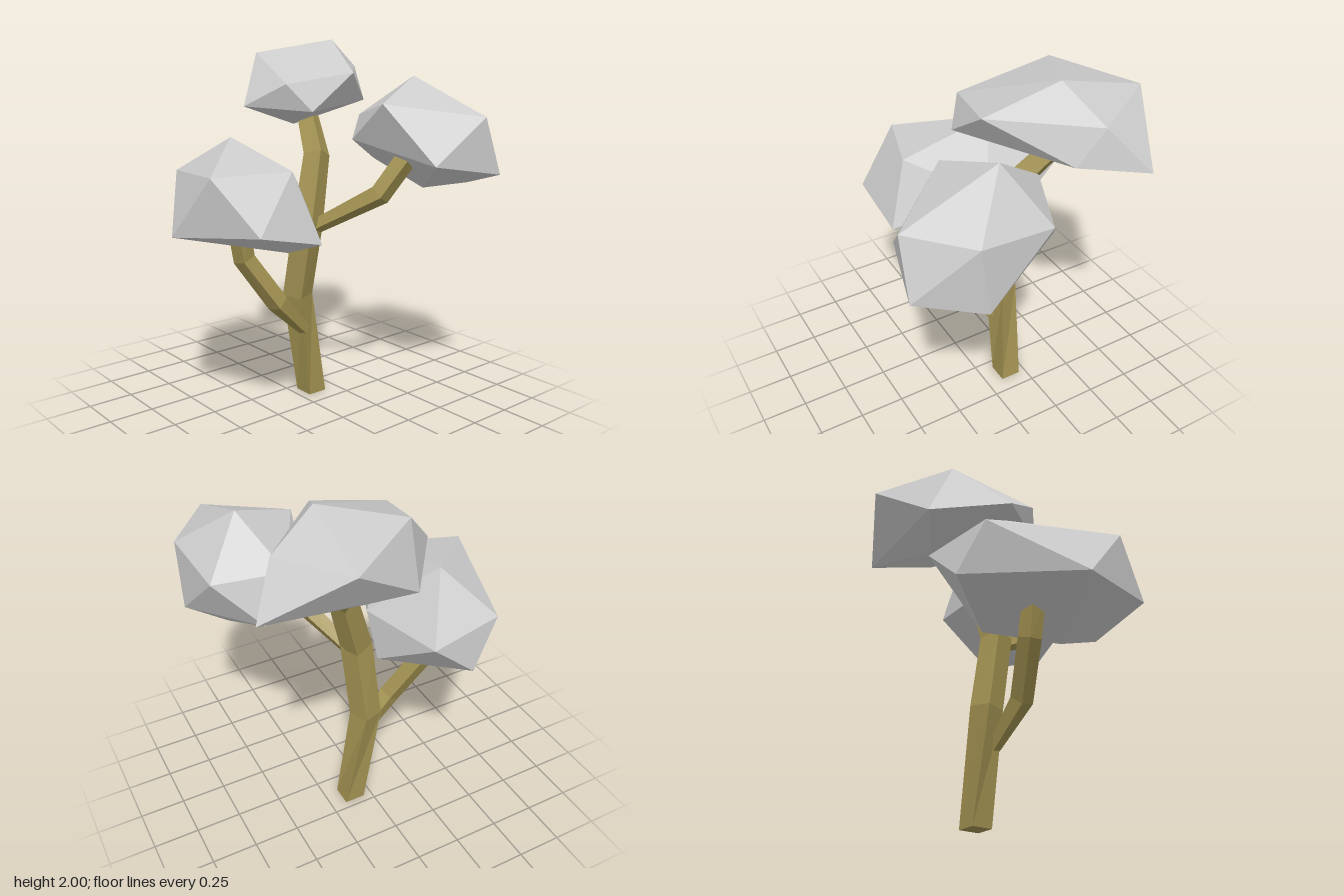
import * as THREE from 'three';
import { ConvexGeometry } from 'three/addons/geometries/ConvexGeometry.js';

const leafMat = new THREE.MeshStandardMaterial({ color: 0xcccccc, flatShading: true });
const barkMat = new THREE.MeshStandardMaterial({ color: 0xa09050, flatShading: true });

// Square-section limb; each ring is [x, y, z, halfWidth, twist]
function limb(name, rings) {
  const pts = rings.map(r => new THREE.Vector3(r[0], r[1], r[2]));
  const corners = [[-1, 1], [1, 1], [1, -1], [-1, -1]];
  const pos = [], idx = [];
  rings.forEach(([, y, , h, twist], i) => {
    const t = new THREE.Vector3();
    if (y === 0) t.set(0, 1, 0);
    else {
      if (i > 0) t.add(pts[i].clone().sub(pts[i - 1]).normalize());
      if (i < pts.length - 1) t.add(pts[i + 1].clone().sub(pts[i]).normalize());
      t.normalize();
    }
    const u = new THREE.Vector3(1, 0, 0).addScaledVector(t, -t.x).normalize();
    const v = u.clone().cross(t);
    const c = Math.cos(twist), s = Math.sin(twist);
    for (const [a, b] of corners) {
      const p = pts[i].clone()
        .addScaledVector(u, h * (a * c + b * s))
        .addScaledVector(v, h * (b * c - a * s));
      pos.push(p.x, p.y, p.z);
    }
  });
  for (let i = 0; i < rings.length - 1; i++) {
    for (let k = 0; k < 4; k++) {
      const a = i * 4 + k, b = i * 4 + (k + 1) % 4;
      idx.push(a, b, b + 4, a, b + 4, a + 4);
    }
  }
  const e = (rings.length - 1) * 4;
  idx.push(0, 2, 1, 0, 3, 2, e, e + 1, e + 2, e, e + 2, e + 3);
  const indexed = new THREE.BufferGeometry();
  indexed.setAttribute('position', new THREE.Float32BufferAttribute(pos, 3));
  indexed.setIndex(idx);
  const geo = indexed.toNonIndexed();
  geo.computeVertexNormals();
  const mesh = new THREE.Mesh(geo, barkMat);
  mesh.name = name;
  return mesh;
}

// Faceted leaf clump: the hull around twelve corners
function clump(name, corners) {
  const geo = new ConvexGeometry(corners.map(c => new THREE.Vector3(...c)));
  const mesh = new THREE.Mesh(geo, leafMat);
  mesh.name = name;
  return mesh;
}

export function createModel() {
  const tree = new THREE.Group();
  tree.name = 'tree';

  // Trunk and side branches
  tree.add(
    limb('trunk', [
      [-0.152, 0, -0.107, 0.058, 0],
      [-0.16, 0.6, -0.015, 0.06, 0.35],
      [-0.09, 1.02, -0.035, 0.06, 0.35],
      [-0.15, 1.38, -0.145, 0.053, 0.35],
      [-0.36, 1.62, -0.24, 0.045, 0.35],
    ]),
    limb('frontBranch', [
      [-0.11, 0.4, -0.02, 0.025, 0.3],
      [-0.085, 0.6, 0.18, 0.042, 0.3],
      [-0.16, 0.86, 0.345, 0.042, 0.2],
      [-0.16, 1.06, 0.38, 0.042, 0.1],
    ]),
    limb('leftBranch', [
      [-0.06, 1.0, -0.07, 0.03, 0.3],
      [0.26, 1.2, -0.24, 0.042, 0.3],
      [0.35, 1.45, -0.4, 0.042, 0.3],
    ]),
  );

  // Leaf clumps
  tree.add(
    clump('topFoliage', [
      [-0.71, 1.88, -0.36], [-0.45, 1.93, 0.04], [-0.255, 2, -0.34], [0.085, 1.83, -0.2],
      [0.09, 1.64, 0.08], [-0.225, 1.66, 0.285], [-0.58, 1.62, 0.02], [-0.425, 1.525, -0.2],
      [0, 1.78, 0.18], [-0.34, 1.85, -0.59], [-0.51, 1.64, -0.74], [-0.21, 1.66, -0.55],
    ]),
    clump('leftFoliage', [
      [0.195, 1.81, -0.54], [0.695, 1.62, -0.55], [0.71, 1.32, -0.66], [0.31, 1.68, -0.2],
      [0.605, 1.38, -0.29], [0.43, 1.59, -0.787], [0.385, 1.225, -0.792], [0.21, 1.19, -0.62],
      [0.035, 1.54, -0.75], [-0.115, 1.33, -0.545], [-0.1, 1.59, -0.415], [0.015, 1.47, -0.26],
    ]),
    clump('frontFoliage', [
      [-0.28, 1.5, 0.335], [0.125, 1.37, 0.725], [-0.137, 1.05, 0.788], [0.375, 1.11, 0.62],
      [0.37, 1.025, 0.25], [0.247, 1.38, 0.335], [-0.55, 1.31, 0.51], [-0.615, 1.28, 0.105],
      [-0.605, 1.065, 0.35], [-0.09, 1.225, 0.025], [-0.22, 1.0, 0.02], [0.11, 0.935, 0.26],
    ]),
  );
  return tree;
}
